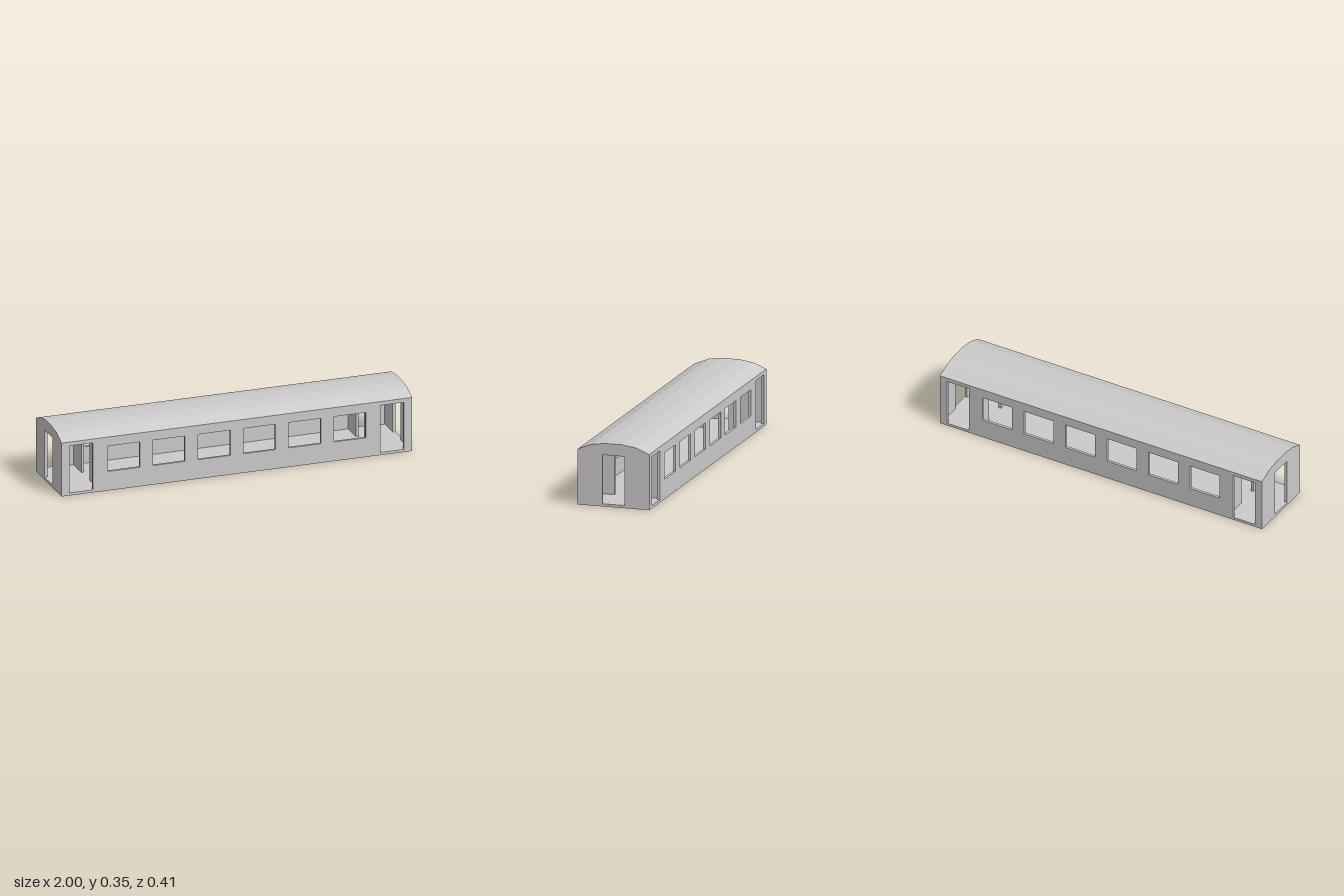
import * as THREE from 'three';

const T = 0.015;          // wall thickness
const W = 0.2025;         // half width
const EAVE = 0.298;       // underside of the roof edge
const DOOR_TOP = 0.285;
// roof cross-section as [z, y], from one eave to the other
const OUTER = [[W, 0.307], [0.126, 0.338], [0.05, 0.349], [-0.05, 0.349], [-0.126, 0.338], [-W, 0.307]];
const INNER = [[W - T, EAVE], [0.126, 0.323], [0.05, 0.334], [-0.05, 0.334], [-0.126, 0.323], [T - W, EAVE]];

const material = new THREE.MeshStandardMaterial({ color: 0xcccccc, flatShading: true });

const shapeOf = (points) => new THREE.Shape(points.map(([a, b]) => new THREE.Vector2(a, b)));

function rectHole(x0, x1, y0, y1) {
  const path = new THREE.Path();
  path.moveTo(x0, y0).lineTo(x0, y1).lineTo(x1, y1).lineTo(x1, y0).closePath();
  return path;
}

function addMesh(group, name, geometry) {
  const mesh = new THREE.Mesh(geometry, material);
  mesh.name = name;
  group.add(mesh);
  return mesh;
}

const extrude = (shape, depth) => new THREE.ExtrudeGeometry(shape, { depth, bevelEnabled: false });

// Extrudes a symmetric cross-section along x, centred on the given x
function extrudeAlongX(shape, length, x) {
  return extrude(shape, length).translate(0, 0, -length / 2).rotateY(Math.PI / 2).translate(x, 0, 0);
}

// Cross wall with a central doorway, following the given roof line
function crossWall(roofLine, halfWidth, bottom, x) {
  const shape = shapeOf([[-halfWidth, bottom], [halfWidth, bottom], ...roofLine]);
  shape.holes.push(rectHole(-0.063, 0.063, T, DOOR_TOP));
  return extrudeAlongX(shape, T, x);
}

export function createModel() {
  const group = new THREE.Group();
  group.name = 'railwayCarriage';
  const inside = 2 - 2 * T;

  // Floor
  addMesh(group, 'floor', new THREE.BoxGeometry(inside, T, 2 * (W - T)).translate(0, T / 2, 0));

  // Faceted roof shell
  const roofShape = shapeOf([[W, EAVE], ...OUTER, [-W, EAVE], ...INNER.slice().reverse()]);
  addMesh(group, 'roof', extrudeAlongX(roofShape, inside, 0));

  // Side walls with two doors and six windows
  const h = inside / 2;
  const side = shapeOf([[-h, 0], [h, 0], [h, EAVE], [-h, EAVE]]);
  for (const s of [-1, 1]) {
    const c = s * 0.8875;
    side.holes.push(rectHole(c - 0.067, c + 0.067, T, DOOR_TOP));
  }
  for (let i = 0; i < 6; i++) {
    const c = (i - 2.5) * 0.258;
    side.holes.push(rectHole(c - 0.0915, c + 0.0915, 0.11, 0.255));
  }
  addMesh(group, 'frontSideWall', extrude(side, T).translate(0, 0, W - T));
  addMesh(group, 'backSideWall', extrude(side, T).translate(0, 0, -W));

  // End walls and the vestibule partitions, all with a doorway
  for (const [s, label] of [[1, 'left'], [-1, 'right']]) {
    addMesh(group, label + 'EndWall', crossWall(OUTER, W, 0, s * (1 - T / 2)));
    // the sill of the partition doorway is part of the floor
    const inner = shapeOf([[T - W, T], [-0.063, T], [-0.063, DOOR_TOP], [0.063, DOOR_TOP],
      [0.063, T], [W - T, T], ...INNER]);
    addMesh(group, label + 'Partition', extrudeAlongX(inner, T, s * 0.783));
  }
  return group;
}
